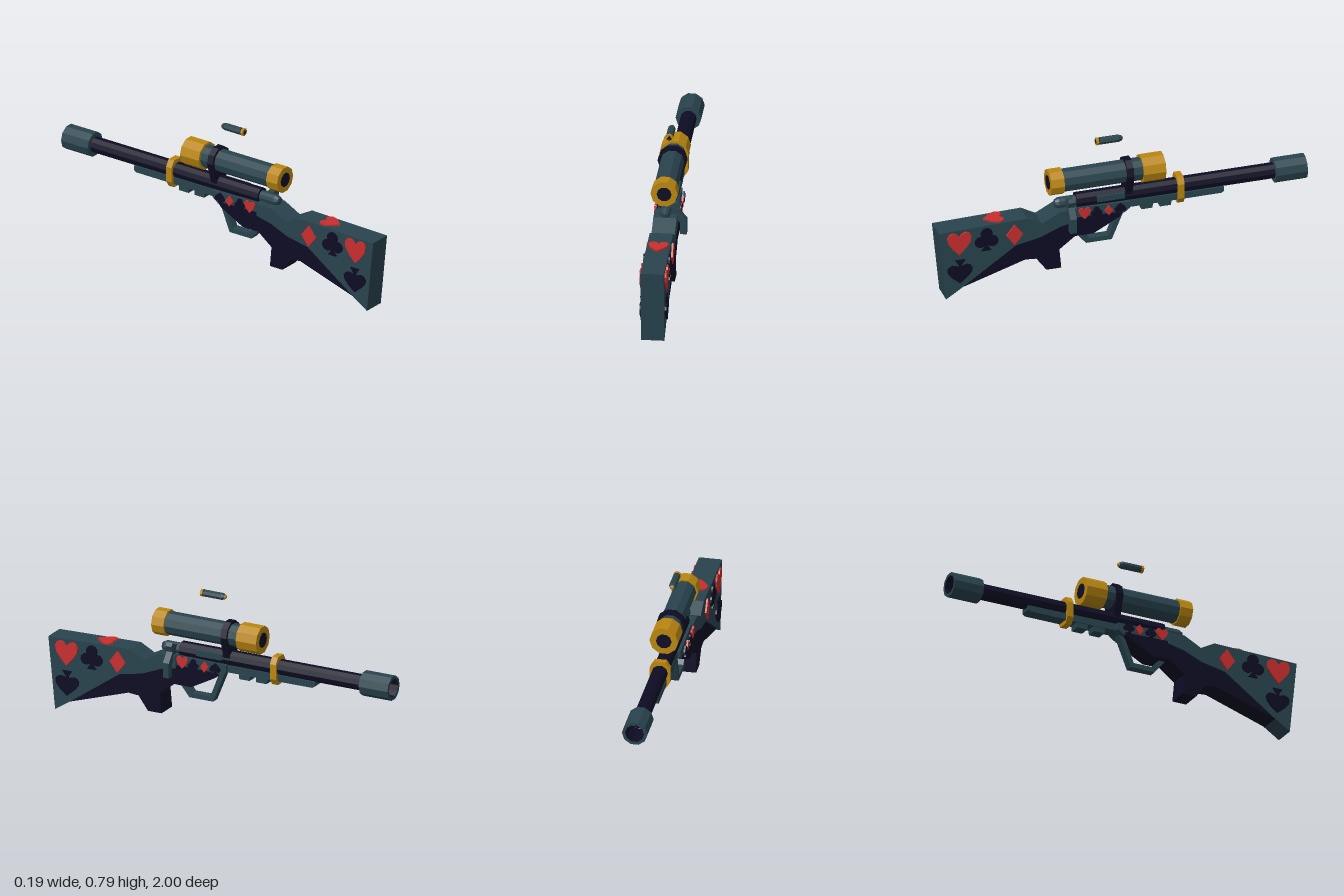
import * as THREE from 'three';

const mat = (name, color) => {
  const m = new THREE.MeshStandardMaterial({ color });
  m.name = name;
  return m;
};

export function createModel() {
  const teal = mat('slate teal', 0x28434d);
  const dark = mat('midnight navy', 0x0e0c24);
  const gold = mat('brass gold', 0xb98610);
  const red = mat('card red', 0xc92e2e);
  const CX = -0.016; // centre plane of the body
  const BORE = 0.44, SCOPE = 0.57; // heights of barrel and scope axes
  const model = new THREE.Group();
  model.name = 'rifle';

  const add = (name, geo, material, x = 0, y = 0, z = 0, parent = model) => {
    let g = geo.index ? geo.toNonIndexed() : geo;
    g.computeVertexNormals(); // faceted look
    const mesh = new THREE.Mesh(g, material);
    mesh.name = name;
    mesh.position.set(x, y, z);
    parent.add(mesh);
    return mesh;
  };
  const poly = (pts) => new THREE.Shape(pts.map(([a, b]) => new THREE.Vector2(a, b)));
  const extrude = (shapes, depth) =>
    new THREE.ExtrudeGeometry(shapes, { depth, bevelEnabled: false, curveSegments: 6 }).translate(0, 0, -depth / 2);
  // Side outline given as [z, y], extruded across the width
  const side = (pts) => poly(pts.map(([z, y]) => [-z, y]));
  const slab = (name, pts, width, material, hole) => {
    const s = side(pts);
    if (hole) s.holes.push(side(hole));
    return add(name, extrude(s, width).rotateY(Math.PI / 2), material, CX);
  };
  // Turned part along z, profile given as [radius, z] with z rising on the outside
  const turned = (name, pts, y, material, sides = 10) =>
    add(name, new THREE.LatheGeometry(pts.map(([r, z]) => new THREE.Vector2(r, z)), sides)
      .rotateY(Math.PI / 2).rotateX(Math.PI / 2), material, CX, y);
  const rod = (name, r, z0, z1, y, material, sides) =>
    turned(name, [[0, z0], [r, z0], [r, z1], [0, z1]], y, material, sides);

  // Stock, lower grip, receiver and forearm
  slab('stock', [[1, 0.396], [0.96, 0], [0.875, 0.055], [0.58, 0.26], [0.45, 0.285], [0.34, 0.33],
    [0.25, 0.35], [0.25, 0.42], [0.345, 0.415], [0.44, 0.365], [0.52, 0.408]], 0.122, teal);
  slab('lowerGrip', [[0.875, 0.055], [0.53, 0.165], [0.47, 0.16], [0.415, 0.085], [0.335, 0.085],
    [0.345, 0.195], [0.26, 0.26], [0.16, 0.26], [0.02, 0.335], [0, 0.36], [0.3, 0.365], [0.45, 0.3], [0.58, 0.27]], 0.118, dark)
    .scale.x = 0.98;
  slab('receiver', [[0.3, 0.42], [0.3, 0.355], [-0.01, 0.352], [-0.04, 0.375], [-0.04, 0.412]], 0.1, teal);
  slab('forearm', [[0, 0.41], [0, 0.37], [-0.54, 0.372], [-0.555, 0.382], [-0.555, 0.405]], 0.07, teal);
  for (const z of [-0.138, -0.238])
    slab('forearmLug', [[z + 0.034, 0.38], [z + 0.03, 0.343], [z - 0.03, 0.343], [z - 0.034, 0.38]], 0.06, teal);
  slab('triggerGuard', [[0.27, 0.285], [0.19, 0.188], [0.05, 0.188], [-0.02, 0.36], [0.02, 0.36], [0.25, 0.32]], 0.045, teal,
    [[0.235, 0.285], [0.175, 0.214], [0.067, 0.214], [0.018, 0.34]]);

  // Barrel, muzzle and band
  rod('barrel', 0.043, -0.87, 0.243, BORE, dark);
  turned('muzzle', [[0.05, -1], [0.067, -1], [0.067, -0.83], [0.04, -0.83]], BORE, teal);
  turned('muzzleBore', [[0.05, -0.86], [0.05, -1]], BORE, dark);
  add('barrelBand', extrude(poly([[-0.03, 0.35], [0.03, 0.35], [0.053, 0.385], [0.053, 0.467],
    [0.03, 0.502], [-0.03, 0.502], [-0.053, 0.467], [-0.053, 0.385]]), 0.035), gold, CX, 0, -0.318);

  // Bolt, its handle and the ejection port
  turned('bolt', [[0, 0.2], [0.03, 0.2], [0.03, 0.335], [0.02, 0.355], [0, 0.36]], BORE, teal);
  add('boltHandle', extrude(poly([[-0.01, 0.42], [0.03, 0.405], [0.058, 0.37], [0.058, 0.305], [0.092, 0.305],
    [0.092, 0.387], [0.05, 0.437], [0.063, 0.47], [0.05, 0.487], [0.02, 0.47], [-0.01, 0.465]]), 0.035), teal, 0, 0, 0.283);
  add('ejectionPort', new THREE.BoxGeometry(0.02, 0.032, 0.15), teal, CX + 0.037, 0.449, 0.062);

  // Scope with end caps, lenses and mount
  rod('scopeTube', 0.062, -0.12, 0.33, SCOPE, teal);
  rod('eyepiece', 0.071, 0.318, 0.39, SCOPE, gold);
  rod('objective', 0.076, -0.23, -0.11, SCOPE, gold);
  rod('eyepieceLens', 0.039, 0.385, 0.392, SCOPE, dark);
  rod('objectiveLens', 0.041, -0.232, -0.225, SCOPE, dark);
  const ring = [];
  for (let i = 0; i <= 5; i++) {
    const a = (i * Math.PI) / 5;
    ring.push([0.077 * Math.cos(a), SCOPE + 0.077 * Math.sin(a)]);
  }
  add('scopeMount', extrude(poly([[-0.042, 0.45], [0.042, 0.45], [0.046, 0.47], ...ring, [-0.046, 0.47]]), 0.036),
    dark, CX, 0, -0.038);

  // Floating cartridge
  rod('cartridgeRim', 0.021, 0.117, 0.13, 0.77, gold, 8);
  rod('cartridgeGroove', 0.018, 0.11, 0.118, 0.77, dark, 8);
  turned('cartridgeBody', [[0, -0.008], [0.014, -0.008], [0.02, 0.01], [0.02, 0.112], [0, 0.112]], 0.77, teal, 8);
  turned('cartridgeTip', [[0, -0.017], [0.008, -0.015], [0.0135, -0.007], [0, -0.007]], 0.77, gold, 8);

  // Card suit outlines, one unit tall and centred
  const disc = (x, y, r) => new THREE.Shape().absarc(x, y, r, 0, Math.PI * 2);
  const stem = () => poly([[-0.2, -0.5], [0.2, -0.5], [0.06, -0.3], [0.05, 0.05], [-0.05, 0.05], [-0.06, -0.3]]);
  const heartPts = (s, dy) => {
    const half = [[0, 0.3], [0.12, 0.45], [0.28, 0.5], [0.43, 0.43], [0.5, 0.27], [0.46, 0.06], [0.3, -0.18]];
    const left = half.slice(1).reverse().map(([x, y]) => [-x, y]);
    return [...half, [0, -0.5], ...left].map(([x, y]) => [x, y * s + dy]);
  };
  const suits = {
    heart: [red, () => [poly(heartPts(1, 0))]],
    diamond: [red, () => [poly([[0, -0.5], [0.38, 0], [0, 0.5], [-0.38, 0]])]],
    club: [dark, () => [disc(0, 0.25, 0.25), disc(-0.25, -0.1, 0.24), disc(0.25, -0.1, 0.24), disc(0, 0, 0.15), stem()]],
    spade: [dark, () => [poly(heartPts(-0.78, 0.11).reverse()), stem()]],
  };
  const plate = (kind, size, t = 0.0095) => extrude(suits[kind][1](), t).scale(size, size, 1);

  // Suits on both sides of the stock and receiver: kind, z, y, size, half width, upside down
  const inlays = [
    ['heart', 0.89, 0.322, 0.132, 0.061], ['club', 0.742, 0.325, 0.13, 0.061],
    ['diamond', 0.59, 0.327, 0.12, 0.061], ['spade', 0.886, 0.157, 0.137, 0.061, true],
    ['heart', 0.21, 0.39, 0.066, 0.05], ['club', 0.145, 0.388, 0.062, 0.05],
    ['diamond', 0.079, 0.388, 0.06, 0.05], ['spade', 0.017, 0.388, 0.062, 0.05],
  ];
  for (const [kind, z, y, size, half, flip] of inlays)
    for (const s of [1, -1]) {
      const g = plate(kind, size);
      if (flip) g.rotateZ(Math.PI);
      const wide = half > 0.06 ? half : 0.0595; // receiver inlays clear the grip
      add(kind + 'Inlay', g.rotateY((s * Math.PI) / 2), suits[kind][0], CX + s * (wide + 0.0047), y, z);
    }
  // Heart on top of the stock and club on the cartridge base
  add('topHeart', plate('heart', 0.105).rotateX(-Math.PI / 2 + 0.02), red, CX, 0.409, 0.69);
  add('cartridgeClub', plate('club', 0.024, 0.003), dark, CX, 0.77, 0.131);

  return model;
}
